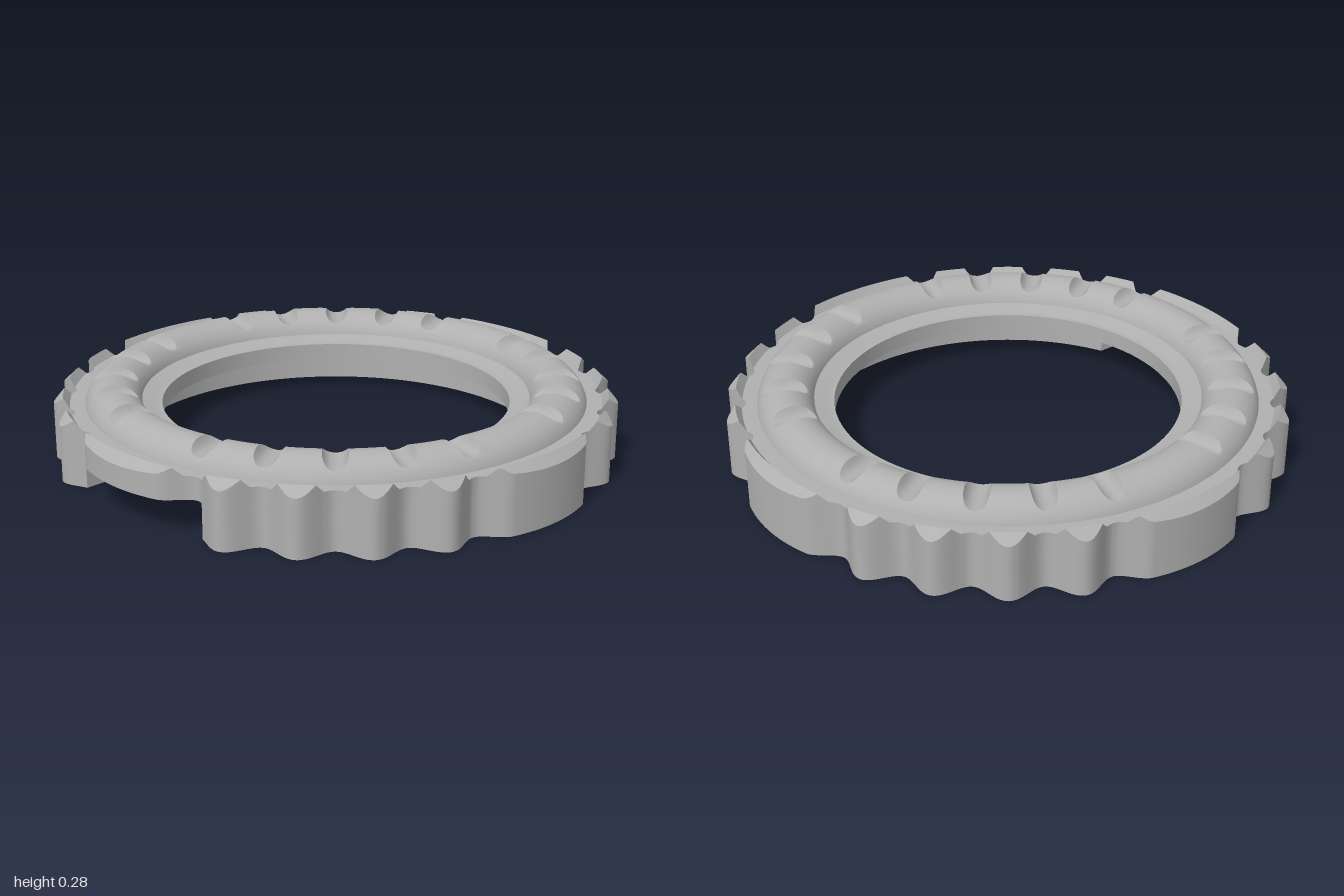
import * as THREE from 'three';
import { toCreasedNormals } from 'three/addons/utils/BufferGeometryUtils.js';

const CREASE = 0.5;
const deg = THREE.MathUtils.degToRad;

// Scalloped outer radius: four wide lobes on the axes, four small ones between each pair
function outerRadius(t) {
  let a = (((THREE.MathUtils.radToDeg(t) % 90) + 90) % 90);
  if (a > 45) a = 90 - a;
  if (a > 17) return 0.965 + 0.035 * Math.cos((2 * Math.PI * (a - 24)) / 14);
  if (a < 10) return 1 - 0.01 * (a / 10) ** 2;
  return 0.99 - 0.06 * THREE.MathUtils.smoothstep(a, 10, 17);
}

// Height of the rim: flat ledge, inner slope up to a ridge, chamfer down outside
function rimHeight(r) {
  if (r < 0.943) return 0.205;
  if (r < 0.965) return 0.205 + (0.03 * (r - 0.943)) / 0.022;
  return 0.235 - (0.032 * (r - 0.965)) / 0.035;
}

// Surface from a grid of [angle, radius, height]; columns run around the ring
function ringSurface(columns) {
  const rows = columns[0].length, n = columns.length;
  const pos = [], index = [];
  for (const col of columns)
    for (const [t, r, y] of col) pos.push(r * Math.sin(t), y, r * Math.cos(t));
  for (let i = 0; i < n; i++)
    for (let j = 0; j < rows - 1; j++) {
      const a = i * rows + j, b = ((i + 1) % n) * rows + j;
      index.push(a, a + 1, b, b, a + 1, b + 1);
    }
  const g = new THREE.BufferGeometry();
  g.setAttribute('position', new THREE.Float32BufferAttribute(pos, 3));
  g.setIndex(index);
  return toCreasedNormals(g, CREASE);
}

// Upper ring: lip, sloped seat, ledge with raised lobes, wall and underside
function upperRing() {
  const columns = [];
  for (let i = 0; i < 720; i++) {
    const t = deg(i / 2), R = outerRadius(t);
    const profile = [[0.62, 0.125], [0.62, 0.185], [0.65, 0.185], [0.69, 0.205], [0.89, 0.205]];
    for (const r of [0.943, 0.965, 1]) {
      const c = Math.min(r, R);
      profile.push([c, rimHeight(c)]);
    }
    profile.push([R, 0.125], [0.62, 0.125]);
    columns.push(profile.map(([r, y]) => [t, r, y]));
  }
  return ringSurface(columns);
}

// Lower ring: C-shaped skirt, open at the front, with four pin holes
function lowerRing() {
  const t0 = Math.asin(0.3 / outerRadius(0.325)), t1 = Math.asin(0.3 / 0.77);
  const at = (r, t) => new THREE.Vector2(r * Math.sin(t), -r * Math.cos(t));
  const pts = [at(outerRadius(t0), t0)];
  for (let i = 1; i < 720; i++) {
    const t = deg(i / 2);
    if (t > t0 + 0.002 && t < 2 * Math.PI - t0 - 0.002) pts.push(at(outerRadius(t), t));
  }
  pts.push(at(outerRadius(t0), -t0));
  for (let i = 0; i <= 160; i++)
    pts.push(at(0.77, 2 * Math.PI - t1 - (i / 160) * (2 * Math.PI - 2 * t1)));
  const shape = new THREE.Shape(pts);
  for (let q = 0; q < 4; q++) {
    const c = at(0.882, deg(45 + 90 * q));
    shape.holes.push(new THREE.Path().absarc(c.x, c.y, 0.03, 0, 2 * Math.PI, true));
  }
  const g = new THREE.ExtrudeGeometry(shape, { depth: 0.125, bevelEnabled: false, curveSegments: 16 });
  g.rotateX(-Math.PI / 2);
  return toCreasedNormals(g, CREASE);
}

// Rounded bead with radial scooped grooves; grid columns follow the groove edges
function groovedBead() {
  const mid = 0.79, arcR = 0.104, arcY = 0.176;
  const cutR = 0.043, cutY = 0.286;
  const half = Math.asin(0.1 / arcR), ROWS = 60, CUT = 10, GAP = 6;
  const section = [];
  for (let j = 0; j <= ROWS; j++) {
    const p = -half + (2 * half * j) / ROWS;
    const r = mid + arcR * Math.sin(p), y = arcY + arcR * Math.cos(p);
    section.push({ r, y, w: Math.sqrt(Math.max(0, cutR ** 2 - (cutY - y) ** 2)) });
  }
  const grooves = [];
  for (let q = 0; q < 4; q++)
    for (let k = 1; k <= 5; k++) grooves.push(deg(90 * q + 15 * k));
  const columns = [];
  grooves.forEach((t, i) => {
    const next = i + 1 < grooves.length ? grooves[i + 1] : grooves[0] + 2 * Math.PI;
    for (let k = 0; k <= CUT; k++) {
      const s = -1 + (2 * k) / CUT;
      columns.push(section.map(({ r, y, w }) =>
        [t + (s * w) / r, r, Math.min(y, cutY - Math.sqrt(cutR ** 2 - (s * w) ** 2))]));
    }
    for (let k = 1; k < GAP; k++)
      columns.push(section.map(({ r, y, w }) =>
        [THREE.MathUtils.lerp(t + w / r, next - w / r, k / GAP), r, y]));
  });
  return ringSurface(columns);
}

export function createModel() {
  const metal = new THREE.MeshStandardMaterial({ color: 0xb0b0b0 });
  metal.name = 'grey metal';
  const group = new THREE.Group();
  group.name = 'scallopedRing';
  const parts = { upperRing: upperRing(), lowerRing: lowerRing(), groovedBead: groovedBead() };
  for (const [name, geometry] of Object.entries(parts)) {
    const mesh = new THREE.Mesh(geometry, metal);
    mesh.name = name;
    group.add(mesh);
  }
  return group;
}
